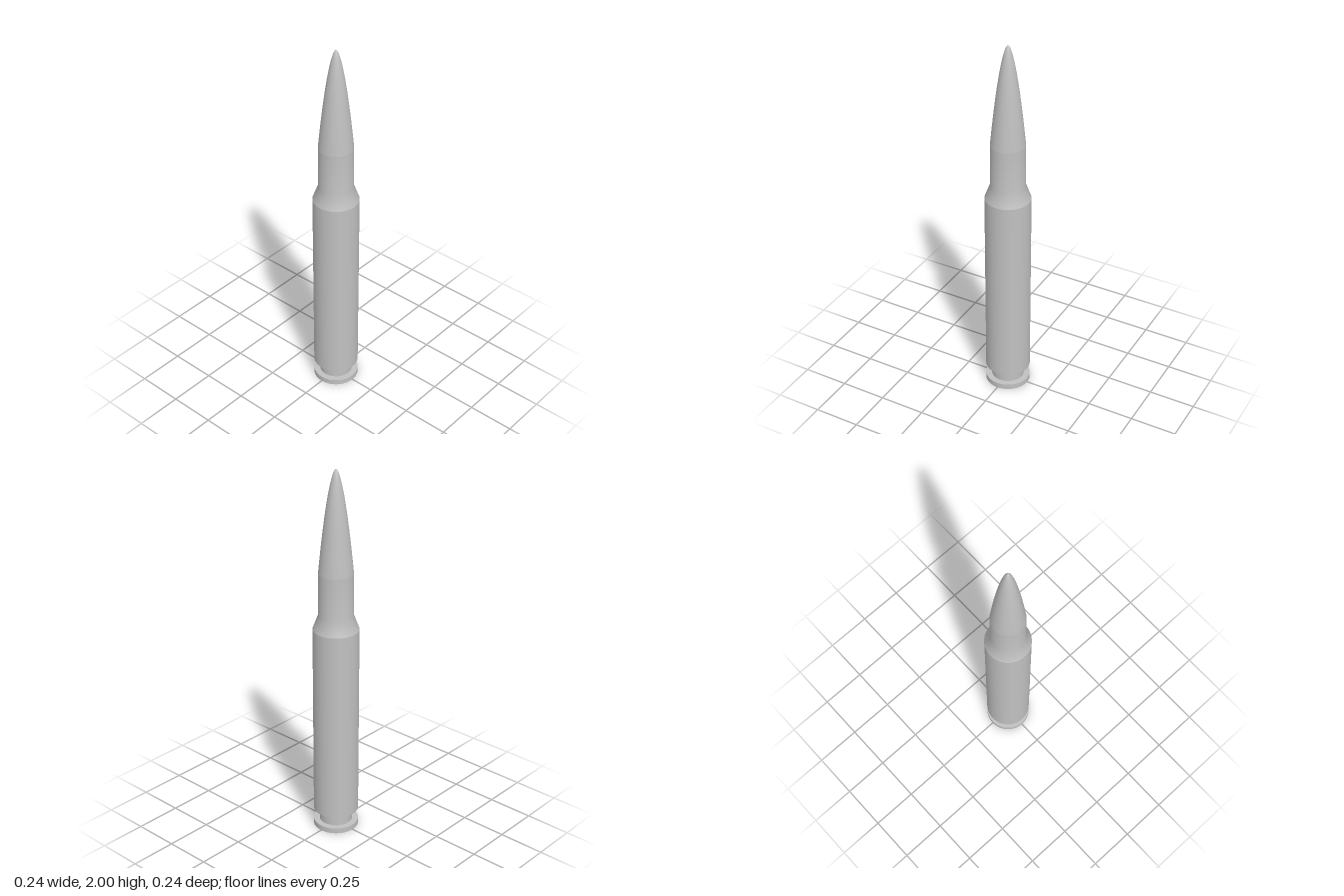
import * as THREE from 'three';

const SEGMENTS = 64;

export function createModel() {
  const model = new THREE.Group();
  model.name = 'cartridge';
  const metal = new THREE.MeshStandardMaterial({ color: 0xc0c0c0 });
  metal.name = 'grey metal';

  // Revolve a profile of [radius, height] pairs, listed bottom to top
  const turn = (name, profile) => {
    const points = profile.map(([r, y]) => new THREE.Vector2(r, y));
    const mesh = new THREE.Mesh(new THREE.LatheGeometry(points, SEGMENTS), metal);
    mesh.name = name;
    model.add(mesh);
  };

  // Solid cylinder between two heights
  const disc = (name, radius, y0, y1) => {
    const mesh = new THREE.Mesh(new THREE.CylinderGeometry(radius, radius, y1 - y0, SEGMENTS), metal);
    mesh.position.y = (y0 + y1) / 2;
    mesh.name = name;
    model.add(mesh);
  };

  // Base: rim, extractor groove and straight case
  disc('rim', 0.12, 0, 0.03);
  disc('extractorGroove', 0.088, 0.03, 0.097);
  disc('caseBody', 0.12, 0.097, 1.155);

  // Tapered shoulder blending into the neck
  turn('shoulderAndNeck', [[0.12, 1.155], [0.09, 1.235], [0.09, 1.46]]);

  // Bullet: curved taper to a small rounded tip
  const base = 1.46, tip = 2, steps = 28;
  const ogive = [];
  for (let i = 0; i <= steps; i++) {
    const s = (1 - i / steps) ** 2; // closer rings near the tip
    ogive.push([0.09 * s ** 0.58, tip - (tip - base) * s]);
  }
  turn('bullet', ogive);

  return model;
}
